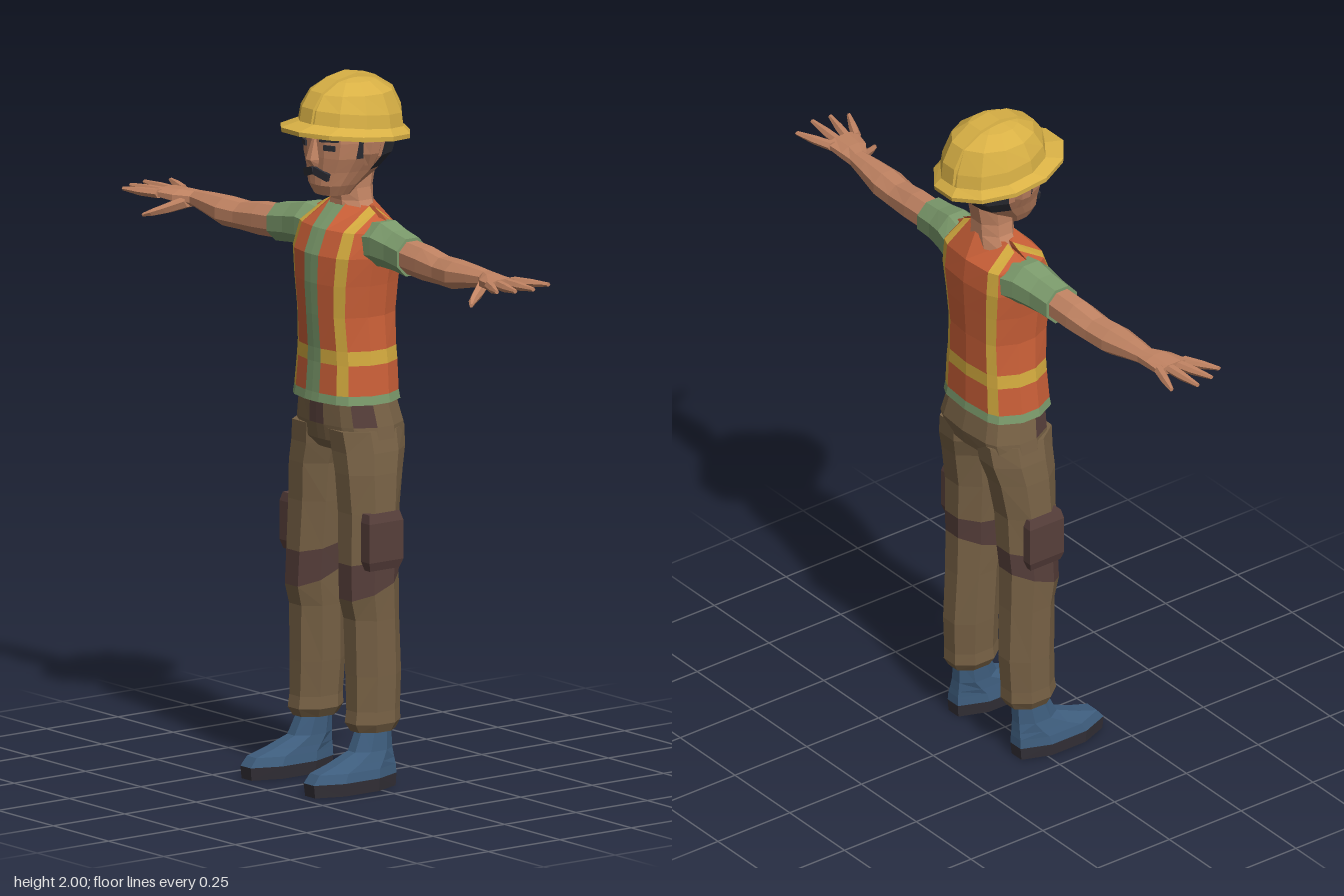
import * as THREE from 'three';

const mat = (name, color) => { const m = new THREE.MeshStandardMaterial({ color }); m.name = name; return m; };
const M = {
  orange: mat('vestOrange', 0xcb6038), stripe: mat('reflectiveYellow', 0xd3aa3e), green: mat('shirtGreen', 0x7c9b6c),
  skin: mat('skin', 0xc28463), brown: mat('trouserBrown', 0x776145), dark: mat('patchBrown', 0x573f3b),
  blue: mat('bootBlue', 0x3d5c7c), sole: mat('soleBlack', 0x322f36), hair: mat('hairBlack', 0x2c2d35),
  helmet: mat('helmetYellow', 0xd8b045),
};
const V = (x, y, z) => new THREE.Vector3(x, y, z);

// Faceted closed skin over a list of rings; colour(row, column) picks the material
function loft(name, rings, colour) {
  const buckets = new Map(), n = rings[0].length, last = rings.length - 1;
  let volume = 0;
  const tri = (m, a, b, c) => {
    volume += a.dot(b.clone().cross(c));
    if (!buckets.has(m)) buckets.set(m, []);
    buckets.get(m).push([a, b, c]);
  };
  const centre = r => r.reduce((s, p) => s.add(p), V(0, 0, 0)).divideScalar(n);
  const c0 = centre(rings[0]), c1 = centre(rings[last]);
  for (let j = 0; j < n; j++) {
    const k = (j + 1) % n;
    for (let i = 0; i < last; i++) {
      const m = colour(i, j), a = rings[i], b = rings[i + 1];
      tri(m, a[j], a[k], b[k]);
      tri(m, a[j], b[k], b[j]);
    }
    tri(colour(-1, j), c0, rings[0][k], rings[0][j]);
    tri(colour(last, j), c1, rings[last][j], rings[last][k]);
  }
  const geo = new THREE.BufferGeometry(), pos = [], mats = [];
  for (const [m, tris] of buckets) {
    geo.addGroup(pos.length / 3, tris.length * 3, mats.length);
    mats.push(m);
    for (const [a, b, c] of tris) for (const p of volume > 0 ? [a, b, c] : [a, c, b]) pos.push(p.x, p.y, p.z);
  }
  geo.setAttribute('position', new THREE.Float32BufferAttribute(pos, 3));
  geo.computeVertexNormals();
  const mesh = new THREE.Mesh(geo, mats.length > 1 ? mats : mats[0]);
  mesh.name = name;
  return mesh;
}

// Polygon with flat sides touching its extents; u and v are the two in-plane axes
const polygon = (n, fn) => Array.from({ length: n }, (_, i) => {
  const a = (i + 0.5) * 2 * Math.PI / n, k = 1 / Math.cos(Math.PI / n);
  return fn(Math.cos(a) * k, Math.sin(a) * k);
});
// Level ring from x and z extents; slope tilts it along z
const levelRing = ([y, x0, x1, zf, zb, slope = 0], n = 8) => polygon(n, (u, v) => {
  const z = (zf + zb) / 2 + v * (zf - zb) / 2;
  return V((x0 + x1) / 2 + u * (x1 - x0) / 2, y + slope * z, z);
});
// Upright ring for parts running along x
const armRing = ([x, y, z, ry, rz], n = 8) => polygon(n, (u, v) => V(x, y + u * ry, z + v * rz));
// Symmetric ring from a half outline of width and depth fractions
const outlineRing = (half, [y, w, zf, zb]) => {
  const pts = half.map(([u, v]) => V(u * w, y, (zf + zb) / 2 + v * (zf - zb) / 2));
  return pts.concat(flip(pts.slice(1, -1)).reverse());
};
const flip = pts => pts.map(p => V(-p.x, p.y, p.z));

export function createModel() {
  const root = new THREE.Group();
  root.name = 'worker';
  const add = (name, rings, colour, parent = root) => {
    const mesh = loft(name, rings, typeof colour === 'function' ? colour : () => colour);
    parent.add(mesh);
    return mesh;
  };
  const pair = (name, rings, colour) => {
    add('left' + name, rings, colour);
    add('right' + name, rings.map(flip), colour);
  };
  const plate = (name, m, size, at, ry = 0, rz = 0) => {
    const mesh = new THREE.Mesh(new THREE.BoxGeometry(...size), m);
    mesh.name = name;
    mesh.position.set(...at);
    mesh.rotation.set(0, ry, rz);
    root.add(mesh);
  };

  // Vest, with stripes and shirt front along its columns
  const body = [[0, 1], [0.2, 0.99], [0.6, 0.88], [0.8, 0.72], [1, 0.2], [1, -0.3], [0.8, -0.8], [0.6, -0.93], [0, -1]];
  const vest = [
    [1.085, 0.157, 0.098, -0.142], [1.11, 0.153, 0.094, -0.138], [1.195, 0.146, 0.088, -0.137], [1.235, 0.141, 0.088, -0.136],
    [1.33, 0.135, 0.095, -0.137], [1.42, 0.145, 0.1, -0.142], [1.5, 0.158, 0.098, -0.146], [1.57, 0.155, 0.07, -0.138],
  ].map(r => outlineRing(body, r));
  const yoke = [[0, 1.63, 0.012], [0.035, 1.637, 0.004], [0.085, 1.632, -0.04], [0.115, 1.618, -0.04], [0.148, 1.598, -0.035],
    [0.148, 1.598, -0.055], [0.115, 1.618, -0.055], [0.085, 1.632, -0.055], [0, 1.645, -0.105]].map(p => V(...p));
  vest.push(yoke.concat(flip(yoke.slice(1, -1)).reverse()));
  add('vest', vest, (i, j) => {
    const s = Math.min(j, 15 - j);
    if (i <= 0) return M.green;
    if (i === vest.length - 1) return M.orange;
    if (s === 0) return M.green;
    return i === 2 || s === 2 || s === 6 ? M.stripe : M.orange;
  });

  // Hips and trouser legs
  const hips = [[1.1, 0.143, 0.08, -0.13], [1.02, 0.16, 0.08, -0.15], [0.975, 0.167, 0.073, -0.14], [0.945, 0.12, 0.045, -0.1]];
  add('hips', hips.map(r => outlineRing(body, r)), (i, j) => {
    const s = Math.min(j, 15 - j);
    return i === 0 && (s === 0 || s === 3) ? M.dark : M.brown;
  });
  const leg = [
    [1.01, 0.005, 0.16, 0.075, -0.14], [0.95, 0.01, 0.173, 0.07, -0.135], [0.89, 0.028, 0.181, 0.07, -0.118],
    [0.78, 0.036, 0.189, 0.066, -0.1], [0.65, 0.046, 0.19, 0.07, -0.097, -0.2], [0.565, 0.052, 0.193, 0.072, -0.092, -0.4],
    [0.48, 0.056, 0.19, 0.058, -0.094], [0.32, 0.063, 0.189, 0.055, -0.1], [0.22, 0.07, 0.188, 0.055, -0.095],
    [0.185, 0.068, 0.19, 0.06, -0.096], [0.16, 0.083, 0.178, 0.045, -0.082],
  ];
  pair('TrouserLeg', leg.map(r => levelRing(r)), i => i === 4 ? M.dark : M.brown);
  pair('CargoPocket', [
    [0.785, 0.165, 0.196, 0.045, -0.062], [0.76, 0.165, 0.204, 0.05, -0.068],
    [0.65, 0.165, 0.204, 0.05, -0.068], [0.625, 0.165, 0.196, 0.043, -0.06],
  ].map(r => levelRing(r, 4).map((p, i, a) => p)), M.dark);

  // Boots
  const boot = [
    [0, 0.09, 0.198, 0.212, -0.07], [0.036, 0.086, 0.2, 0.216, -0.073], [0.062, 0.09, 0.195, 0.195, -0.072],
    [0.08, 0.093, 0.188, 0.135, -0.07], [0.108, 0.096, 0.178, 0.062, -0.068], [0.175, 0.098, 0.168, 0.03, -0.068],
  ];
  pair('Boot', boot.map(r => levelRing(r)), i => i < 1 ? M.sole : M.blue);

  // Sleeves, arms and hands
  pair('Sleeve', [[0.125, 1.535, -0.045, 0.062, 0.07], [0.17, 1.541, -0.04, 0.062, 0.065], [0.23, 1.534, -0.034, 0.055, 0.056],
    [0.295, 1.526, -0.028, 0.053, 0.053]].map(r => armRing(r)), M.green);
  pair('Arm', [[0.28, 1.526, -0.028, 0.045, 0.045], [0.37, 1.521, -0.024, 0.045, 0.046], [0.45, 1.516, -0.02, 0.038, 0.044],
    [0.52, 1.517, -0.014, 0.039, 0.047], [0.6, 1.525, -0.012, 0.029, 0.036], [0.655, 1.529, -0.011, 0.022, 0.028],
    [0.695, 1.531, 0.003, 0.021, 0.043], [0.76, 1.535, 0.01, 0.014, 0.053]].map(r => armRing(r)), M.skin);
  [[-0.032, 0.855, -0.072], [-0.004, 0.88, 0.0], [0.025, 0.87, 0.055], [0.051, 0.845, 0.1]].forEach(([z, tx, tz], i) => {
    const mid = (z + tz) / 2;
    pair('Finger' + (i + 1), [[0.745, 1.535, z, 0.012, 0.014], [(0.745 + tx) / 2, 1.536, mid, 0.011, 0.012],
      [tx, 1.539, tz, 0.005, 0.006]].map(r => armRing(r, 6)), M.skin);
  });
  pair('Thumb', [[0.665, 1.523, 0.005, 0.017, 0.02], [0.7, 1.503, 0.055, 0.014, 0.019], [0.722, 1.492, 0.088, 0.01, 0.014],
    [0.742, 1.484, 0.11, 0.005, 0.006]].map(r => armRing(r, 6)), M.skin);

  // Neck and head, hair on the back and sideburn columns
  add('neck', [[1.6, -0.085, 0.085, 0.01, -0.1], [1.645, -0.062, 0.062, 0.01, -0.1], [1.68, -0.057, 0.057, 0.015, -0.1],
    [1.76, -0.06, 0.06, 0.02, -0.115]].map(r => levelRing(r)), M.skin);
  const skull = [[0, 1], [0.35, 0.97], [0.75, 0.8], [0.95, 0.42], [1, 0.1], [1, -0.3], [0.75, -0.8], [0.35, -0.97], [0, -1]];
  add('head', [[1.665, 0.048, 0.07, -0.03], [1.695, 0.066, 0.084, -0.06], [1.735, 0.085, 0.083, -0.11], [1.775, 0.106, 0.085, -0.148],
    [1.82, 0.115, 0.085, -0.16], [1.885, 0.115, 0.085, -0.165]].map(r => outlineRing(skull, r)), (i, j) => {
    const s = Math.min(j, 15 - j);
    return (i >= 2 && s >= 5) || (i >= 3 && (s === 3 || s === 4) && i !== 3) || (i === 3 && s === 3) ? M.hair : M.skin;
  });
  add('nose', [[1.825, 0.011, 0.09], [1.768, 0.021, 0.108], [1.748, 0.017, 0.092]]
    .map(([y, w, z]) => [V(-w, y, 0.07), V(-w * 0.5, y, z), V(w * 0.5, y, z), V(w, y, 0.07)]), M.skin);
  pair('Ear', [[1.755, 0.1, 0.112, -0.01, -0.04], [1.79, 0.1, 0.13, 0.0, -0.05], [1.825, 0.1, 0.137, 0.0, -0.055],
    [1.84, 0.1, 0.127, -0.01, -0.045]].map(r => levelRing(r, 6)), M.skin);
  for (const s of [-1, 1]) {
    plate('eye', M.hair, [0.036, 0.015, 0.008], [s * 0.056, 1.806, 0.076], s * 0.4);
    plate('eyebrow', M.hair, [0.058, 0.011, 0.009], [s * 0.056, 1.829, 0.078], s * 0.4, s * 0.06);
    plate('moustacheHalf', M.hair, [0.055, 0.022, 0.012], [s * 0.026, 1.729, 0.082], s * 0.2, -s * 0.28);
  }

  // Hard hat: brim and dome in one skin, tilted slightly down at the back
  const hat = [
    [1.835, 0.112, 0.1, -0.17], [1.83, 0.15, 0.17, -0.215], [1.843, 0.15, 0.172, -0.217], [1.862, 0.127, 0.112, -0.196],
    [1.9, 0.122, 0.104, -0.19], [1.95, 0.101, 0.076, -0.163], [1.981, 0.062, 0.03, -0.113], [1.99, 0.025, -0.01, -0.07],
  ];
  add('hardHat', hat.map(([y, w, zf, zb], i) => levelRing([y, -w, w, zf, zb, i < 5 ? 0.11 : 0.02], 12)), M.helmet);
  const crest = [[0.118, 1.875], [0.11, 1.915], [0.08, 1.957], [0.025, 1.988], [-0.04, 2.0], [-0.105, 1.988], [-0.167, 1.95],
    [-0.197, 1.895], [-0.203, 1.845]];
  add('hatCrest', crest.map(([z, y]) => {
    const zi = -0.04 + (z + 0.04) * 0.8, yi = 1.84 + (y - 1.84) * 0.8;
    return [V(-0.032, yi, zi), V(-0.026, y, z), V(0.026, y, z), V(0.032, yi, zi)];
  }), M.helmet);
  return root;
}
